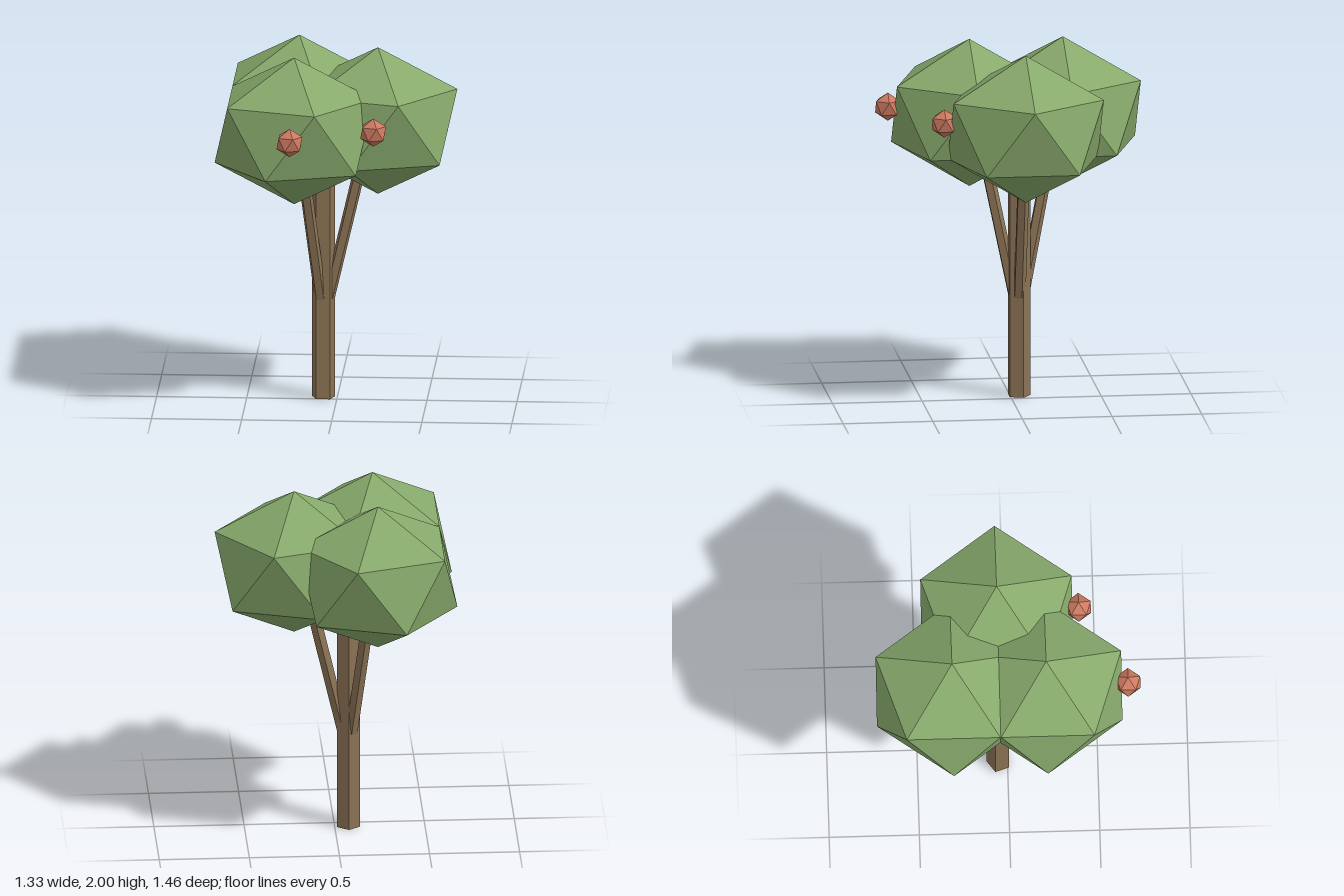
import * as THREE from 'three';
import { ConvexGeometry } from 'three/addons/geometries/ConvexGeometry.js';

const material = (name, color) => {
  const m = new THREE.MeshStandardMaterial({ color, flatShading: true });
  m.name = name;
  return m;
};

// Icosahedron standing on a vertex, upper ring pointing to +x
function icosahedron(ringRadius, halfHeight) {
  const points = [new THREE.Vector3(0, halfHeight, 0), new THREE.Vector3(0, -halfHeight, 0)];
  const ringY = halfHeight / Math.sqrt(5);
  for (let i = 0; i < 10; i++) {
    const a = i * Math.PI / 5;
    points.push(new THREE.Vector3(
      Math.cos(a) * ringRadius, i % 2 ? -ringY : ringY, Math.sin(a) * ringRadius));
  }
  return new ConvexGeometry(points);
}

// Five-sided post between two points
function post(name, from, to, radius, mat) {
  const dir = to.clone().sub(from);
  const geometry = new THREE.CylinderGeometry(radius, radius, dir.length(), 5, 1, false, Math.PI);
  const mesh = new THREE.Mesh(geometry, mat);
  mesh.name = name;
  mesh.position.copy(from).add(to).multiplyScalar(0.5);
  mesh.quaternion.setFromUnitVectors(new THREE.Vector3(0, 1, 0), dir.normalize());
  return mesh;
}

export function createModel() {
  const tree = new THREE.Group();
  tree.name = 'tree';
  const bark = material('bark brown', 0x8b7355);
  const leaf = material('leaf green', 0x87a96b);
  const fruitRed = material('fruit red', 0xcc7a60);

  // Trunk
  const trunkX = -0.077, trunkZ = -0.048;
  tree.add(post('trunk', new THREE.Vector3(trunkX, 0, trunkZ),
    new THREE.Vector3(trunkX, 1.5, trunkZ), 0.067, bark));

  // Leaf clumps, each carried by a branch
  const clumpGeometry = icosahedron(0.441, 0.418);
  const clumps = [['left', 0.225, -0.052], ['rightFront', -0.225, 0.21], ['rightBack', -0.225, -0.312]];
  for (const [side, x, z] of clumps) {
    const clump = new THREE.Mesh(clumpGeometry, leaf);
    clump.name = side + 'Foliage';
    clump.position.set(x, 1.582, z);
    tree.add(clump);

    const along = (t, y) => new THREE.Vector3(
      THREE.MathUtils.lerp(trunkX, x, t), y, THREE.MathUtils.lerp(trunkZ, z, t));
    tree.add(post(side + 'Branch', along(0.1, 0.57), along(0.82, 1.5), 0.035, bark));
  }

  // Fruits on the front of two clumps
  const fruitGeometry = icosahedron(0.0716, 0.08);
  for (const [side, x, z] of [['left', 0.225, 0.402], ['right', -0.225, 0.664]]) {
    const fruit = new THREE.Mesh(fruitGeometry, fruitRed);
    fruit.name = side + 'Fruit';
    fruit.position.set(x, 1.627, z);
    tree.add(fruit);
  }
  return tree;
}
